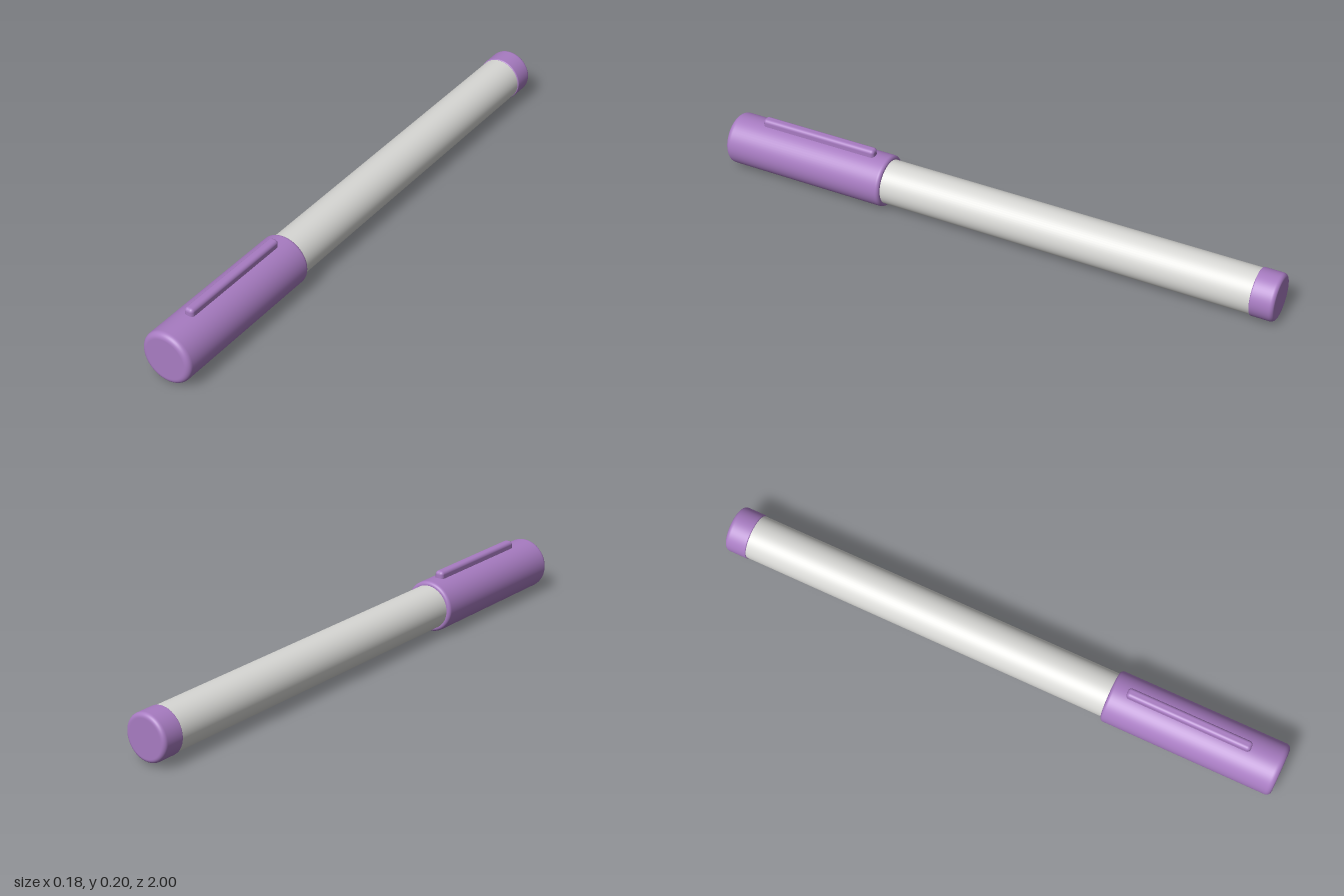
import * as THREE from 'three';
import { RoundedBoxGeometry } from 'three/addons/geometries/RoundedBoxGeometry.js';

const AXIS_Y = 0.09;

// Solid round bar along z from z0 to z1, with filleted rims f0 and f1
function roundBar(radius, z0, z1, f0, f1) {
  const pts = [new THREE.Vector2(0, z0), new THREE.Vector2(radius - f0 - 0.002, z0)];
  const steps = 8;
  for (let i = 0; i <= steps; i++) {
    const a = (i / steps) * Math.PI / 2;
    pts.push(new THREE.Vector2(radius - f0 + f0 * Math.sin(a), z0 + f0 - f0 * Math.cos(a)));
  }
  pts.push(new THREE.Vector2(radius, z0 + f0 + 0.002), new THREE.Vector2(radius, z1 - f1 - 0.002));
  for (let i = 0; i <= steps; i++) {
    const a = (i / steps) * Math.PI / 2;
    pts.push(new THREE.Vector2(radius - f1 + f1 * Math.cos(a), z1 - f1 + f1 * Math.sin(a)));
  }
  pts.push(new THREE.Vector2(radius - f1 - 0.002, z1), new THREE.Vector2(0, z1));
  return new THREE.LatheGeometry(pts, 64).rotateX(Math.PI / 2);
}

export function createModel() {
  const group = new THREE.Group();
  group.name = 'markerPen';
  const purple = new THREE.MeshStandardMaterial({ color: 0xa87cc2 });
  purple.name = 'purple plastic';
  const grey = new THREE.MeshStandardMaterial({ color: 0xd8d8d5 });
  grey.name = 'light grey plastic';

  const add = (name, geometry, material, y = AXIS_Y, z = 0) => {
    const mesh = new THREE.Mesh(geometry, material);
    mesh.name = name;
    mesh.position.set(0, y, z);
    group.add(mesh);
  };

  // Barrel, running into the cap and the end plug
  const barrel = new THREE.CylinderGeometry(0.077, 0.077, 1.36, 64).rotateX(Math.PI / 2);
  add('barrel', barrel, grey, AXIS_Y, -0.25);

  // Cap at the front and plug at the back
  add('cap', roundBar(0.09, 0.395, 1, 0.012, 0.018), purple);
  add('endPlug', roundBar(0.08, -1, -0.92, 0.014, 0.004), purple);

  // Clip lying along the top of the cap
  add('clip', new RoundedBoxGeometry(0.034, 0.044, 0.435, 4, 0.012), purple, 0.182, 0.667);

  return group;
}
